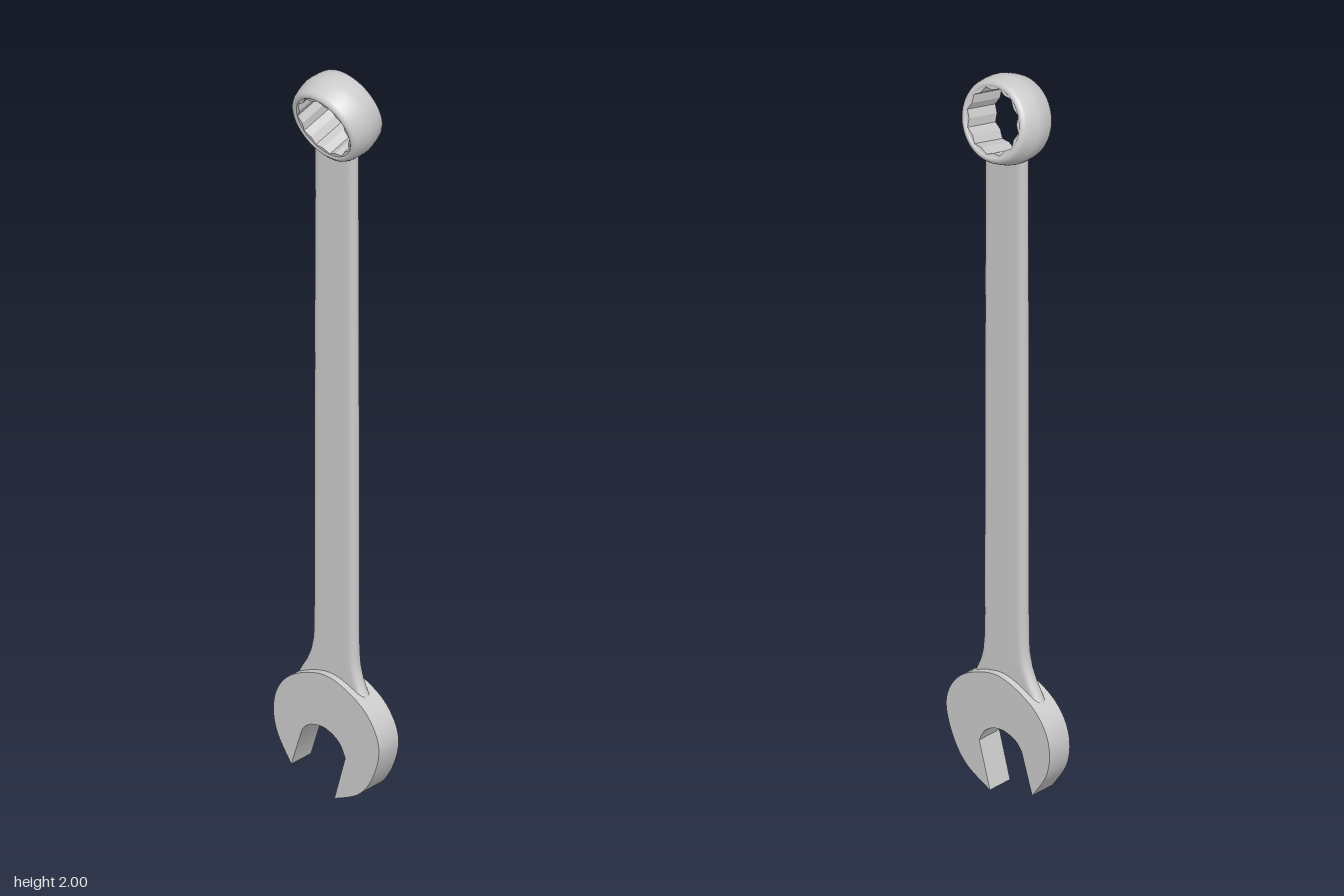
import * as THREE from 'three';
import { toCreasedNormals } from 'three/addons/utils/BufferGeometryUtils.js';

const steel = new THREE.MeshStandardMaterial({ color: 0xcccccc });
const RING = { y: 1.89, z: 0.004, tilt: THREE.MathUtils.degToRad(15), half: 0.055 };

function mesh(name, geometry) {
  const m = new THREE.Mesh(geometry, steel);
  m.name = name;
  return m;
}

const points = (list) => list.map(([a, b]) => new THREE.Vector2(a, b));

// Open-end jaw: round head with a slanted slot, drawn in the (-z, y) plane
function openJaw() {
  const shape = new THREE.Shape();
  shape.moveTo(-0.027, 0);
  shape.splineThru(points([
    [-0.107, 0.042], [-0.153, 0.105], [-0.175, 0.185], [-0.155, 0.25], [-0.1, 0.302], [0, 0.334],
    [0.1, 0.302], [0.155, 0.25], [0.175, 0.185], [0.163, 0.115], [0.116, 0.042],
  ]));
  shape.lineTo(0.08, 0.153);
  shape.splineThru(points([[0.058, 0.175], [0.02, 0.186], [-0.015, 0.18], [-0.045, 0.16], [-0.063, 0.127]]));
  shape.closePath();
  const depth = 0.071;
  const geo = new THREE.ExtrudeGeometry(shape, { depth, bevelEnabled: false, curveSegments: 5 });
  geo.translate(0, 0, -depth / 2);
  geo.rotateY(Math.PI / 2);
  return mesh('openJaw', toCreasedNormals(geo, 0.5));
}

// Flat bar cross-section with fully rounded edges, as [x, z] pairs
function barSection(zMax, zMin, h) {
  const mid = (zMax + zMin) / 2, reach = (zMax - zMin) / 2 - h;
  const loop = [];
  for (const s of [1, -1]) {
    for (let i = 0; i <= 8; i++) loop.push([s * h, mid + s * reach * (i / 4 - 1)]);
    for (let i = 1; i < 8; i++) {
      const a = (i / 8) * Math.PI;
      loop.push([s * h * Math.cos(a), mid + s * (reach + h * Math.sin(a))]);
    }
  }
  return loop;
}

// Shank: flares into the jaw, and its top edge follows the curve of the ring
function shank() {
  const rows = [ // y, zMax, zMin
    [0.28, 0.118, -0.125], [0.31, 0.098, -0.108], [0.34, 0.085, -0.09], [0.37, 0.077, -0.077],
    [0.41, 0.073, -0.068], [0.5, 0.072, -0.066], [1.2, 0.071, -0.065], [1.75, 0.069, -0.063],
    [null, 0.069, -0.063],
  ];
  const position = [], index = [];
  let n = 0;
  for (const [y, zMax, zMin] of rows) {
    const loop = barSection(zMax, zMin, 0.0175);
    n = loop.length;
    for (const [x, z] of loop) {
      position.push(x, y ?? RING.y - Math.sqrt(0.097 ** 2 - (z - RING.z) ** 2), z);
    }
  }
  for (let r = 0; r < rows.length - 1; r++) {
    for (let i = 0; i < n; i++) {
      const a = r * n + i, b = r * n + (i + 1) % n;
      index.push(a, a + n, b, b, a + n, b + n);
    }
  }
  const geo = new THREE.BufferGeometry();
  geo.setAttribute('position', new THREE.Float32BufferAttribute(position, 3));
  geo.setIndex(index);
  geo.computeVertexNormals();
  return mesh('shank', geo);
}

// Box end: a tilted, softly bulged ring with a twelve-point socket
function boxEnd() {
  const group = new THREE.Group();
  group.name = 'boxEnd';
  const h = RING.half;

  const half = [[0.087, h - 0.003], [0.09, h], [0.096, h - 0.0005], [0.1015, h - 0.004],
    [0.1055, h - 0.011], [0.1095, 0.03], [0.113, 0.012]];
  const mirrored = half.map(([r, y]) => [r, -y]);
  const profile = points([...mirrored, [0.114, 0], ...half.reverse()]);
  group.add(mesh('ring', new THREE.LatheGeometry(profile, 64)));

  const liner = new THREE.Shape();
  liner.absarc(0, 0, 0.09, 0, Math.PI * 2);
  const star = [];
  for (let i = 0; i < 24; i++) {
    const a = (i / 24) * Math.PI * 2, r = i % 2 ? 0.078 : 0.086;
    star.push(new THREE.Vector2(r * Math.cos(a), r * Math.sin(a)));
  }
  liner.holes.push(new THREE.Path(star));
  const depth = 2 * h - 0.008;
  const geo = new THREE.ExtrudeGeometry(liner, { depth, bevelEnabled: false, curveSegments: 32 });
  geo.translate(0, 0, -depth / 2);
  geo.rotateX(Math.PI / 2);
  group.add(mesh('socket', geo));

  group.position.set(0, RING.y, RING.z);
  group.rotation.z = RING.tilt - Math.PI / 2;
  return group;
}

export function createModel() {
  const wrench = new THREE.Group();
  wrench.name = 'combinationWrench';
  wrench.add(openJaw(), shank(), boxEnd());
  return wrench;
}
